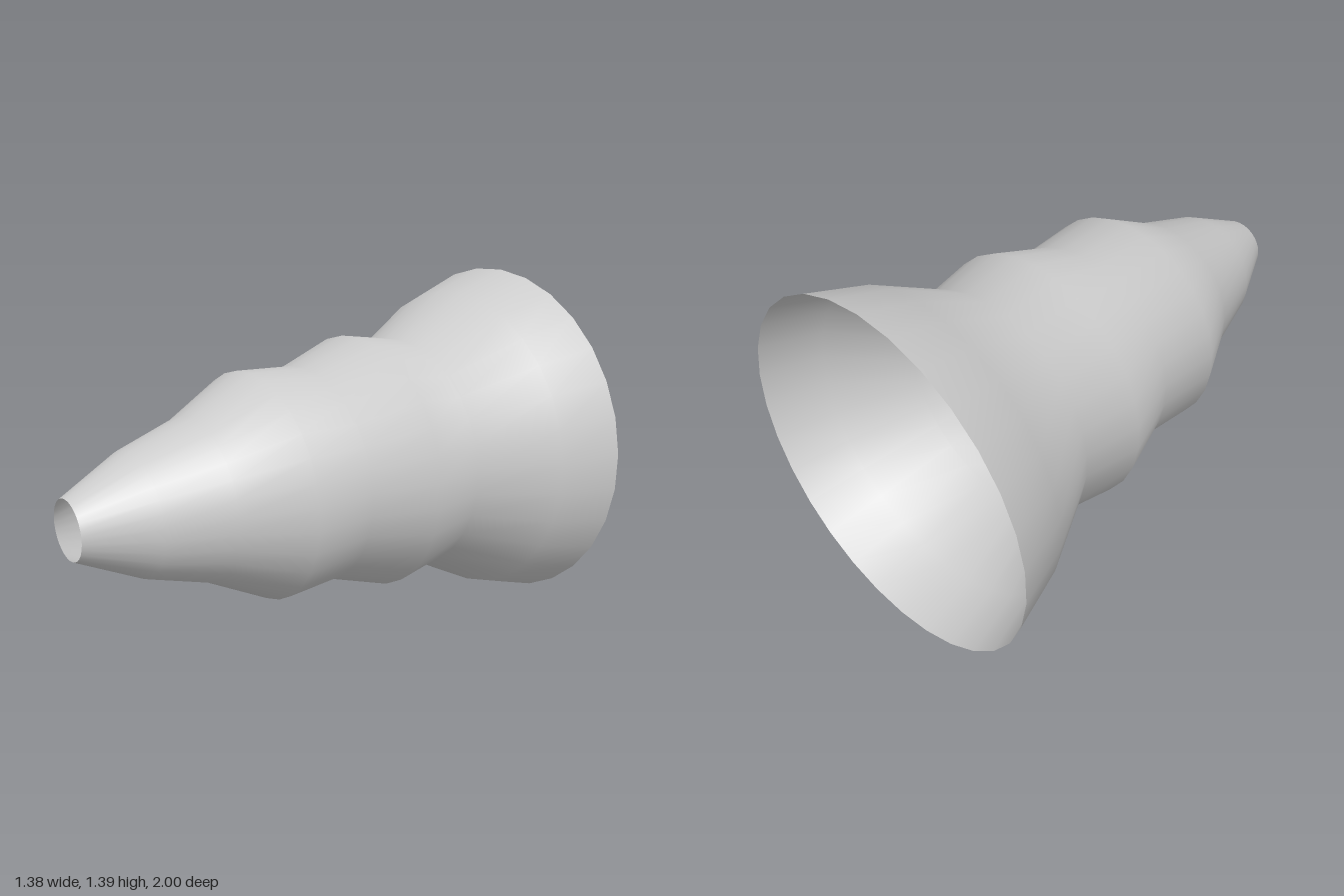
import * as THREE from 'three';

export function createModel() {
  const group = new THREE.Group();
  const baseRadius = 0.696;

  // [radius, position along z], from the wide open base to the narrow open tip
  const profile = [
    [baseRadius, -1], [0.622, -0.77], [0.465, -0.475], [0.506, -0.25], [0.422, 0],
    [0.44, 0.25], [0.312, 0.5], [0.235, 0.75], [0.113, 1],
  ].map(([r, z]) => new THREE.Vector2(r, z));

  // Hollow tapered shell, turned so its axis runs along z
  const geometry = new THREE.LatheGeometry(profile, 30);
  geometry.rotateX(Math.PI / 2);

  const shell = new THREE.Mesh(
    geometry,
    new THREE.MeshStandardMaterial({ color: 0xcccccc, side: THREE.DoubleSide }),
  );
  shell.name = 'taperedShell';
  shell.position.y = baseRadius;
  group.add(shell);
  return group;
}
